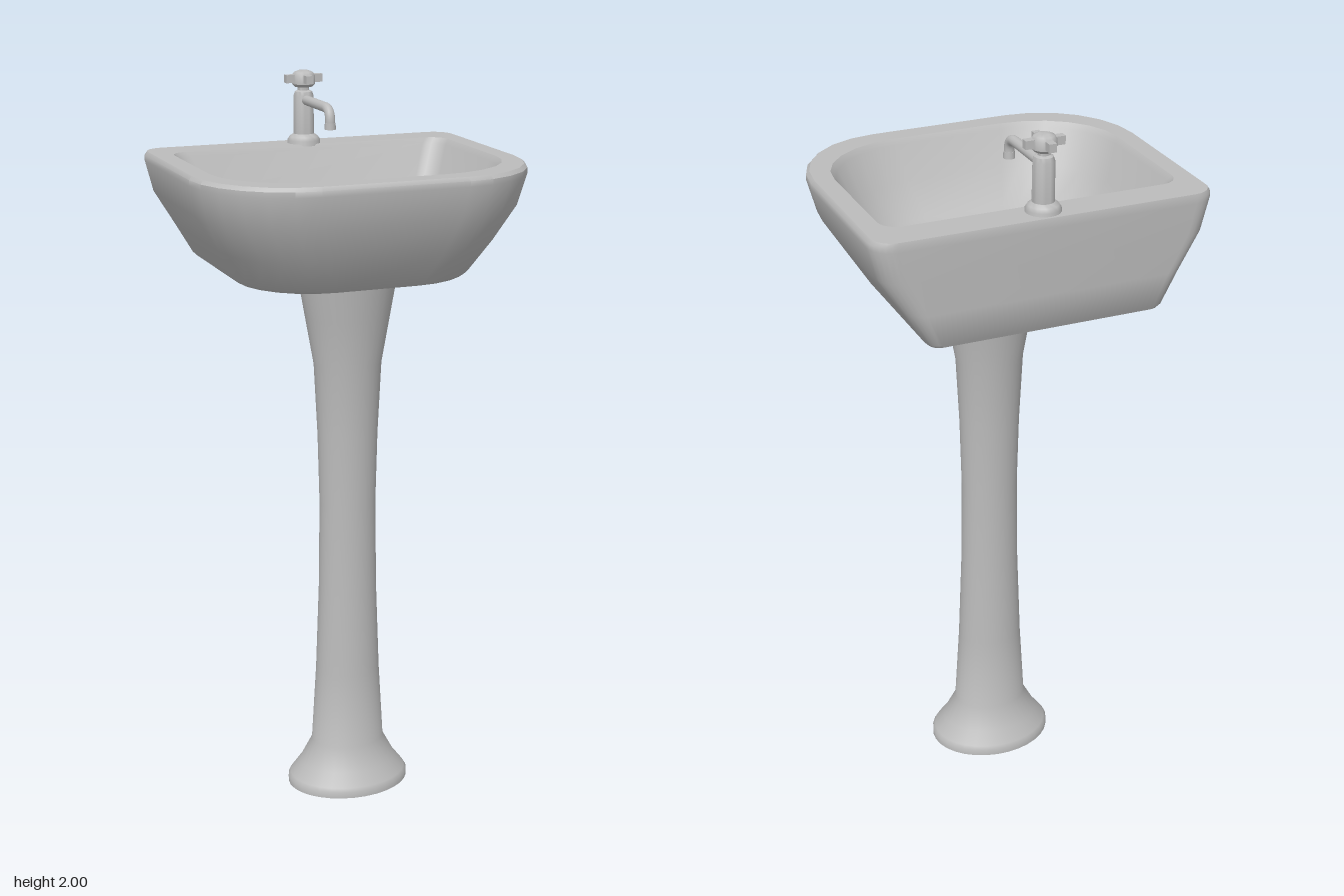
import * as THREE from 'three';
import { toCreasedNormals } from 'three/addons/utils/BufferGeometryUtils.js';

const SEG = 6; // facets per basin corner

// Rounded outline: wide elliptical corners at the front, tight ones at the back
function outline([y, w, zb, zf, rx, rz, rb]) {
  const corners = [
    [w - rx, zf - rz, rx, rz], [-w + rx, zf - rz, rx, rz],
    [-w + rb, zb + rb, rb, rb], [w - rb, zb + rb, rb, rb],
  ];
  const pts = [];
  corners.forEach(([cx, cz, a, b], k) => {
    for (let i = 0; i <= SEG; i++) {
      const t = (k + i / SEG) * Math.PI / 2;
      pts.push(cx + a * Math.cos(t), y, cz + b * Math.sin(t));
    }
  });
  return pts;
}

// Skin between consecutive outlines
function loft(rings) {
  const n = 4 * (SEG + 1), index = [];
  for (let j = 0; j < rings.length - 1; j++) {
    for (let i = 0; i < n; i++) {
      const a = j * n + i, b = j * n + (i + 1) % n, c = a + n, d = b + n;
      index.push(a, c, b, b, c, d);
    }
  }
  const g = new THREE.BufferGeometry();
  g.setAttribute('position', new THREE.Float32BufferAttribute(rings.flatMap(outline), 3));
  g.setIndex(index);
  return toCreasedNormals(g, 0.7);
}

function lathe(profile, sides) {
  const g = new THREE.LatheGeometry(profile.map(([r, y]) => new THREE.Vector2(r, y)), sides);
  return toCreasedNormals(g, 0.7);
}

export function createModel() {
  const model = new THREE.Group();
  model.name = 'pedestalSink';
  const ceramic = new THREE.MeshStandardMaterial({ color: 0xbcbcbc });
  ceramic.name = 'grey ceramic';

  const add = (name, geometry, parent = model, x = 0, y = 0, z = 0) => {
    const mesh = new THREE.Mesh(geometry, ceramic);
    mesh.name = name;
    mesh.position.set(x, y, z);
    parent.add(mesh);
    return mesh;
  };

  // Basin: underside, outer wall, rim, bowl; [y, halfWidth, back, front, rx, rz, backRadius]
  add('basin', loft([
    [1.50, 0, 0, 0, 0, 0, 0],
    [1.50, 0.315, -0.36, 0.243, 0.2, 0.2, 0.03],
    [1.51, 0.325, -0.367, 0.253, 0.2, 0.2, 0.035],
    [1.595, 0.378, -0.368, 0.308, 0.22, 0.23, 0.05],
    [1.69, 0.438, -0.369, 0.35, 0.25, 0.26, 0.06],
    [1.775, 0.46, -0.37, 0.37, 0.26, 0.27, 0.06],
    [1.79, 0.46, -0.37, 0.37, 0.26, 0.27, 0.06],
    [1.80, 0.452, -0.368, 0.362, 0.255, 0.265, 0.055],
    [1.80, 0.402, -0.275, 0.306, 0.25, 0.22, 0.05],
    [1.785, 0.391, -0.268, 0.296, 0.245, 0.22, 0.05],
    [1.69, 0.355, -0.235, 0.26, 0.22, 0.21, 0.05],
    [1.61, 0.29, -0.195, 0.19, 0.18, 0.17, 0.05],
    [1.575, 0.22, -0.17, 0.11, 0.14, 0.12, 0.05],
    [1.555, 0.05, -0.1, -0.005, 0.045, 0.045, 0.045],
    [1.553, 0, -0.055, -0.055, 0, 0, 0],
  ]));

  // Drain ring with a recessed centre
  add('drain', lathe([
    [0.045, 0], [0.042, 0.006], [0.022, 0.006], [0.02, 0.002], [0, 0.002],
  ].reverse().map(([r, y]) => [r, y]).reverse(), 24), model, 0, 1.555, -0.055);

  // Pedestal: oval column flaring at both ends
  const pedestal = add('pedestal', lathe([
    [0, 0], [0.175, 0], [0.175, 0.018], [0.168, 0.028], [0.14, 0.065], [0.105, 0.13],
    [0.092, 0.35], [0.083, 0.6], [0.08, 0.85], [0.085, 1.05], [0.095, 1.25],
    [0.118, 1.38], [0.14, 1.505],
  ], 32), model, 0, 0, 0.025);
  pedestal.scale.z = 0.82;

  // Tap
  const tap = new THREE.Group();
  tap.name = 'tap';
  tap.position.set(0, 1.80, -0.315);
  model.add(tap);

  add('tapBody', lathe([
    [0.046, -0.005], [0.046, 0.008], [0.04, 0.018], [0.029, 0.026], [0.028, 0.13],
    [0.024, 0.142], [0.016, 0.146], [0.016, 0.165],
  ], 24), tap);
  add('handleHub', lathe([
    [0, 0.155], [0.024, 0.155], [0.032, 0.163], [0.032, 0.186], [0.026, 0.195], [0.014, 0.2], [0, 0.2],
  ], 24), tap);
  for (let i = 0; i < 2; i++) {
    const bar = add('handleBar', new THREE.BoxGeometry(0.106, 0.022, 0.02), tap, 0, 0.178, 0);
    bar.rotation.y = i * Math.PI / 2;
  }

  // Spout reaches forward, then turns down
  const path = new THREE.CurvePath();
  const v = (y, z) => new THREE.Vector3(0, y, z);
  path.add(new THREE.LineCurve3(v(0.12, 0.01), v(0.12, 0.175)));
  path.add(new THREE.QuadraticBezierCurve3(v(0.12, 0.175), v(0.12, 0.21), v(0.085, 0.21)));
  path.add(new THREE.LineCurve3(v(0.085, 0.21), v(0.07, 0.21)));
  add('spout', new THREE.TubeGeometry(path, 32, 0.0135, 14), tap);
  add('spoutTip', new THREE.CylinderGeometry(0.0145, 0.0155, 0.018, 16), tap, 0, 0.074, 0.21);

  return model;
}
